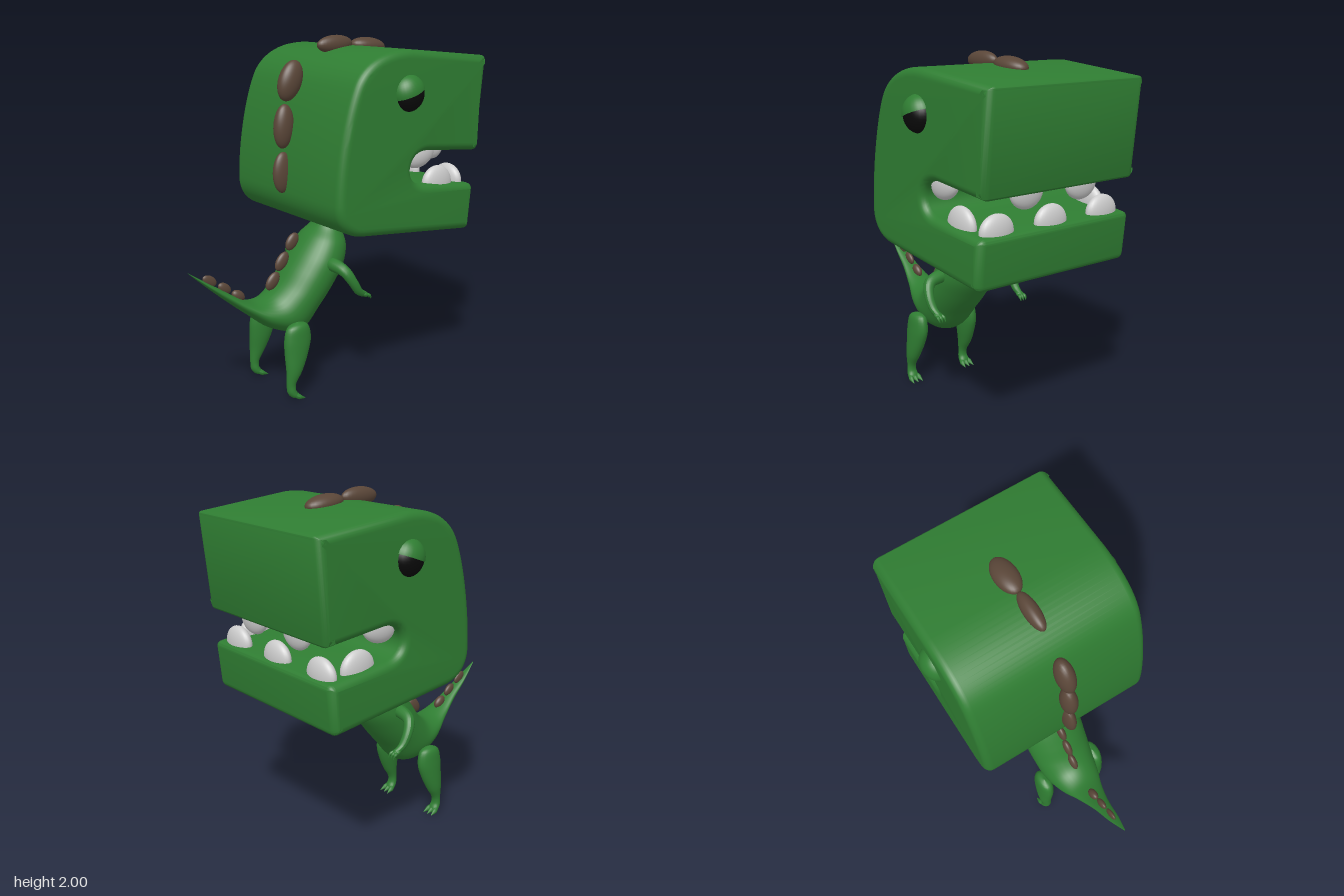
import * as THREE from 'three';
import { toCreasedNormals } from 'three/addons/utils/BufferGeometryUtils.js';

const green = new THREE.MeshStandardMaterial({ color: 0x2f7d32 });
const brown = new THREE.MeshStandardMaterial({ color: 0x5a4638 });
const black = new THREE.MeshStandardMaterial({ color: 0x0a0a0a });
const grey = new THREE.MeshStandardMaterial({ color: 0xcccccc });

function add(parent, name, geometry, material) {
  const mesh = new THREE.Mesh(geometry, material);
  mesh.name = name;
  parent.add(mesh);
  return mesh;
}

// Ellipsoid with semi-axes, turned about z
function blob(parent, name, material, [x, y, z], [a, b, c], turn = 0) {
  const mesh = add(parent, name, new THREE.SphereGeometry(1, 28, 20), material);
  mesh.position.set(x, y, z);
  mesh.scale.set(a, b, c);
  mesh.rotation.z = turn;
  return mesh;
}

// Smooth loft of elliptical rings; row: back x, back y, front x, front y, centre z, half width
function loft(rows, steps = 48, sides = 28) {
  const back = new THREE.CatmullRomCurve3(rows.map(r => new THREE.Vector3(r[0], r[1], r[4])));
  const front = new THREE.CatmullRomCurve3(rows.map(r => new THREE.Vector3(r[2], r[3], r[5])));
  const pos = [], index = [];
  for (let i = 0; i <= steps; i++) {
    const b = back.getPoint(i / steps), f = front.getPoint(i / steps);
    for (let j = 0; j < sides; j++) {
      const a = j / sides * Math.PI * 2, c = Math.cos(a) / 2;
      pos.push((b.x + f.x) / 2 + c * (b.x - f.x), (b.y + f.y) / 2 + c * (b.y - f.y),
        b.z + Math.sin(a) * Math.max(f.z, 0));
      if (i < steps) {
        const k = (j + 1) % sides, p = i * sides + j, q = i * sides + k;
        index.push(p, p + sides, q, q, p + sides, q + sides);
      }
    }
  }
  const g = new THREE.BufferGeometry();
  g.setAttribute('position', new THREE.Float32BufferAttribute(pos, 3));
  g.setIndex(index);
  g.computeVertexNormals();
  return g;
}

// Tube along points whose radius follows a list of values
function taperTube(points, radii, steps = 24, sides = 14) {
  const curve = new THREE.CatmullRomCurve3(points.map(p => new THREE.Vector3(...p)));
  const g = new THREE.TubeGeometry(curve, steps, 1, sides);
  const p = g.attributes.position, v = new THREE.Vector3();
  for (let i = 0; i < p.count; i++) {
    const t = Math.floor(i / (sides + 1)) / steps, c = curve.getPointAt(t);
    const s = t * (radii.length - 1), k = Math.min(Math.floor(s), radii.length - 2);
    const r = THREE.MathUtils.lerp(radii[k], radii[k + 1], s - k);
    v.fromBufferAttribute(p, i).sub(c).multiplyScalar(r).add(c);
    p.setXYZ(i, v.x, v.y, v.z);
  }
  g.computeVertexNormals();
  return g;
}

function buildHead() {
  const head = new THREE.Group();
  head.name = 'head';
  // Side outline with the open mouth
  const s = new THREE.Shape();
  s.moveTo(0.805, 1.89);
  s.lineTo(0.27, 1.94);
  s.bezierCurveTo(0.1, 1.945, -0.03, 1.89, -0.09, 1.78);
  s.bezierCurveTo(-0.15, 1.66, -0.21, 1.4, -0.212, 1.16);
  s.bezierCurveTo(-0.212, 1.06, -0.15, 0.985, -0.03, 0.975);
  s.lineTo(0.71, 0.905);
  s.quadraticCurveTo(0.74, 0.902, 0.743, 0.94);
  s.lineTo(0.76, 1.14);
  s.quadraticCurveTo(0.76, 1.168, 0.73, 1.172);
  s.lineTo(0.4, 1.205);
  s.bezierCurveTo(0.32, 1.21, 0.285, 1.25, 0.285, 1.3);
  s.bezierCurveTo(0.29, 1.36, 0.34, 1.4, 0.42, 1.39);
  s.lineTo(0.765, 1.36);
  s.quadraticCurveTo(0.775, 1.36, 0.778, 1.375);
  s.lineTo(0.82, 1.87);
  s.quadraticCurveTo(0.821, 1.888, 0.805, 1.89);
  const bevel = 0.045, width = 1.02;
  const g = new THREE.ExtrudeGeometry(s, {
    depth: width - 2 * bevel, bevelThickness: bevel, bevelSize: bevel, bevelOffset: -bevel,
    bevelSegments: 6, curveSegments: 14
  });
  g.translate(0, 0, -width / 2 + bevel - 0.005);
  add(head, 'skull', toCreasedNormals(g, 0.55), green);

  // Eyes with sloping lids
  for (const side of [1, -1]) {
    blob(head, 'eye', black, [0.25, 1.71, side * 0.485], [0.095, 0.095, 0.078]);
    const lid = add(head, 'eyelid',
      new THREE.SphereGeometry(1, 28, 12, 0, Math.PI * 2, 0, Math.PI / 2), green);
    lid.material = green;
    lid.position.set(0.25, 1.715, side * 0.485);
    lid.scale.set(0.099, 0.099, 0.085);
    lid.rotation.z = 0.365;
  }

  // Front teeth, lower then upper
  for (const z of [0.35, 0, -0.36]) blob(head, 'lowerTooth', grey, [0.695, 1.18, z], [0.045, 0.092, 0.104]);
  for (const z of [0.175, -0.19]) blob(head, 'upperTooth', grey, [0.708, 1.365, z], [0.045, 0.095, 0.104]);
  // Cheek teeth
  for (const side of [1, -1]) {
    blob(head, 'lowerCheekTooth', grey, [0.53, 1.19, side * 0.432], [0.105, 0.1, 0.045], -0.08);
    blob(head, 'upperCheekTooth', grey, [0.39, 1.37, side * 0.432], [0.105, 0.075, 0.045], 0.3);
  }
  return head;
}

function buildLeg(side) {
  const leg = new THREE.Group();
  leg.name = side > 0 ? 'leftLeg' : 'rightLeg';
  const z = 0.195 * side;
  add(leg, 'shin', loft([
    [-0.251, 0.453, -0.249, 0.453, 0.18 * side, 0],
    [-0.315, 0.425, -0.185, 0.43, 0.18 * side, 0.037],
    [-0.335, 0.36, -0.166, 0.35, 0.182 * side, 0.047],
    [-0.336, 0.27, -0.188, 0.27, 0.187 * side, 0.047],
    [-0.332, 0.18, -0.235, 0.17, z, 0.039],
    [-0.331, 0.09, -0.277, 0.1, z, 0.026],
    [-0.325, 0.045, -0.28, 0.066, z, 0.03],
    [-0.3, 0.015, -0.268, 0.042, z, 0.033],
    [-0.27, 0.012, -0.262, 0.028, z, 0.02]
  ], 40, 20), green);
  for (const k of [-1, 0, 1]) {
    add(leg, 'toe', taperTube([
      [-0.3, 0.04, z + k * 0.014], [-0.27, 0.022, z + k * 0.026], [-0.23, 0.005, z + k * 0.032]
    ], [0.014, 0.015, 0.001], 12, 10), green);
  }
  return leg;
}

function buildArm(side) {
  const arm = new THREE.Group();
  arm.name = side > 0 ? 'leftArm' : 'rightArm';
  add(arm, 'limb', taperTube([
    [-0.01, 0.74, 0.14 * side], [-0.005, 0.74, 0.2 * side], [0.01, 0.72, 0.27 * side],
    [0.045, 0.66, 0.298 * side], [0.09, 0.595, 0.3 * side], [0.135, 0.57, 0.297 * side]
  ], [0.04, 0.038, 0.033, 0.028, 0.024, 0.016]), green);
  blob(arm, 'hand', green, [0.13, 0.571, 0.297 * side], [0.028, 0.015, 0.024], -0.4);
  for (const k of [-1, 0, 1]) {
    add(arm, 'finger', taperTube([
      [0.13, 0.572, side * 0.297 + k * 0.01], [0.155, 0.562, side * 0.295 + k * 0.018],
      [0.168, 0.54, side * 0.293 + k * 0.019]
    ], [0.01, 0.01, 0.001], 10, 8), green);
  }
  return arm;
}

export function createModel() {
  const model = new THREE.Group();
  model.name = 'dinosaur';
  model.add(buildHead());

  // Neck, trunk and tail in one loft
  add(model, 'body', loft([
    [0.02, 1.03, 0.15, 1.02, 0, 0.075],
    [0.005, 0.95, 0.155, 0.92, 0, 0.1],
    [-0.07, 0.88, 0.174, 0.81, 0, 0.16],
    [-0.14, 0.8, 0.15, 0.71, 0, 0.185],
    [-0.2, 0.72, 0.08, 0.6, 0, 0.188],
    [-0.27, 0.625, -0.02, 0.475, 0, 0.18],
    [-0.34, 0.572, -0.15, 0.34, 0, 0.165],
    [-0.42, 0.56, -0.33, 0.385, 0, 0.13],
    [-0.51, 0.592, -0.46, 0.482, 0, 0.085],
    [-0.62, 0.663, -0.58, 0.58, 0, 0.05],
    [-0.73, 0.735, -0.71, 0.693, 0, 0.03],
    [-0.827, 0.802, -0.825, 0.798, 0, 0.003]
  ], 80, 36), green);

  for (const side of [1, -1]) model.add(buildLeg(side), buildArm(side));

  // Ridge plates: x, y, half length, half height, half width, turn
  const plates = [
    [0.37, 1.935, 0.118, 0.047, 0.065, -0.1], [0.135, 1.95, 0.118, 0.05, 0.042, 0.03],
    [-0.165, 1.765, 0.115, 0.07, 0.05, 1.2], [-0.21, 1.52, 0.122, 0.06, 0.045, 1.5],
    [-0.218, 1.265, 0.115, 0.062, 0.035, 1.55],
    [-0.16, 0.86, 0.055, 0.036, 0.022, 0.95], [-0.23, 0.755, 0.06, 0.036, 0.022, 0.95],
    [-0.293, 0.65, 0.058, 0.036, 0.022, 0.9],
    [-0.52, 0.61, 0.045, 0.03, 0.024, -0.65], [-0.605, 0.67, 0.045, 0.028, 0.018, -0.65],
    [-0.695, 0.73, 0.047, 0.028, 0.014, -0.6]
  ];
  for (const [x, y, a, b, c, turn] of plates) {
    blob(model, 'ridgePlate', brown, [x, y, -0.002], [a, b, c], turn);
  }
  return model;
}
